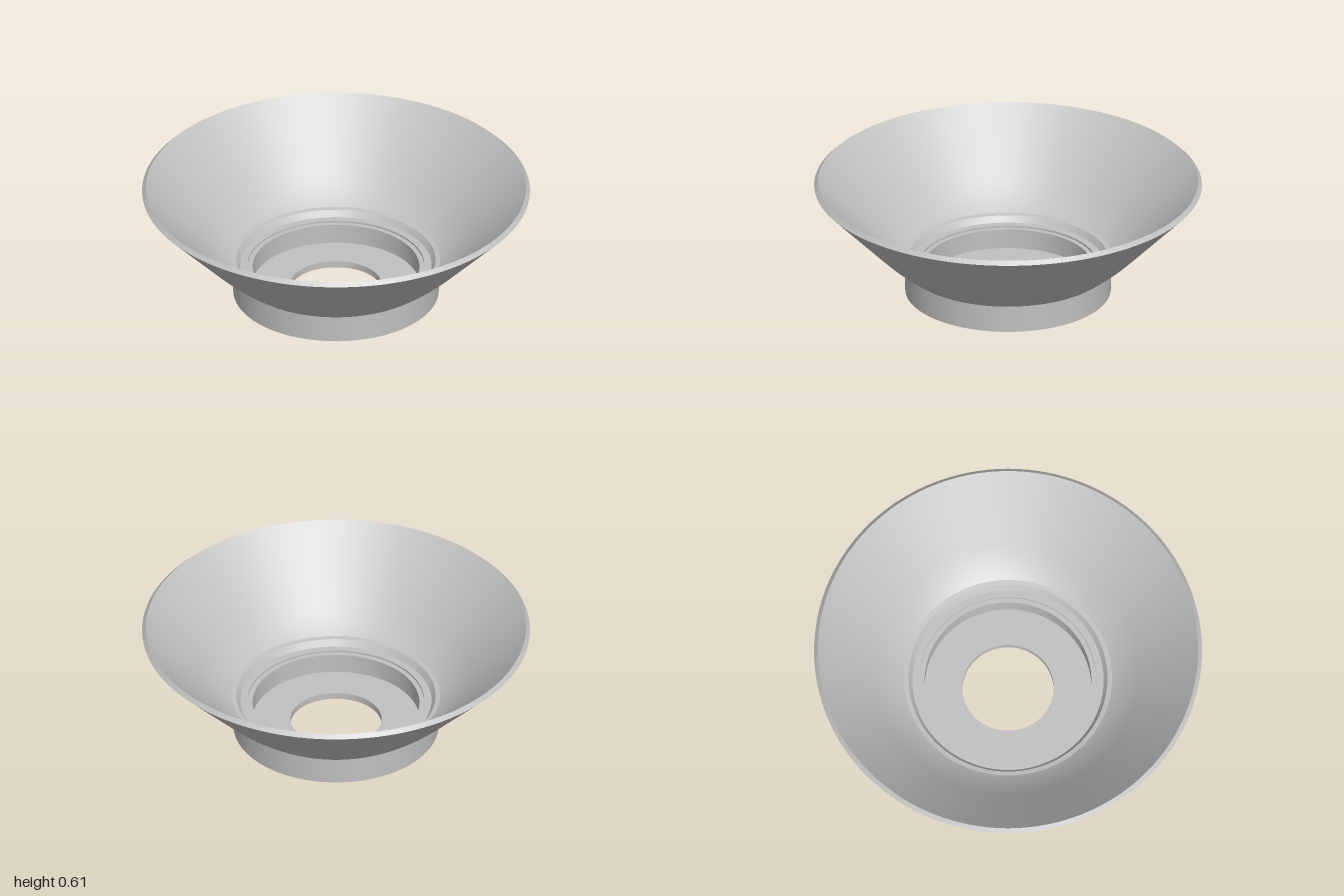
import * as THREE from 'three';

const SIDES = 128;
const p = (x, y) => new THREE.Vector2(x, y);

// curved foot of the flared wall
const bend = (a, c, b) => new THREE.QuadraticBezierCurve(a, c, b).getPoints(12);

export function createModel() {
  const group = new THREE.Group();
  const grey = new THREE.MeshStandardMaterial({ color: 0xc0c0c0 });
  grey.name = 'plainGrey';

  const ring = (name, points) => {
    const mesh = new THREE.Mesh(new THREE.LatheGeometry(points, SIDES), grey);
    mesh.name = name;
    group.add(mesh);
  };
  // one lathe per straight run keeps the edges between runs sharp
  const runs = (name, points) => {
    for (let i = 0; i < points.length - 1; i++) ring(name, [points[i], points[i + 1]]);
  };

  // base collar: underside, outer wall and small ledge under the flare
  runs('baseCollar', [p(0.235, 0), p(0.53, 0), p(0.53, 0.145), p(0.535, 0.145)]);

  // flared cone, outside
  ring('flareOutside', [...bend(p(0.535, 0.145), p(0.63, 0.212), p(0.715, 0.3)), p(1, 0.59)]);

  // bevelled rim
  ring('rim', [p(1, 0.59), p(0.98, 0.61)]);

  // flared cone, inside
  ring('flareInside', [p(0.98, 0.61), ...bend(p(0.695, 0.32), p(0.612, 0.234), p(0.537, 0.186))]);

  // seat: shoulder, sloped step, ledge and shallow recess
  runs('seat', [p(0.537, 0.186), p(0.513, 0.182), p(0.493, 0.15), p(0.455, 0.15),
    p(0.455, 0.14), p(0.43, 0.14)]);

  // cup wall, floor and centre hole
  runs('cup', [p(0.43, 0.14), p(0.43, 0.035), p(0.235, 0.035), p(0.235, 0)]);

  return group;
}
